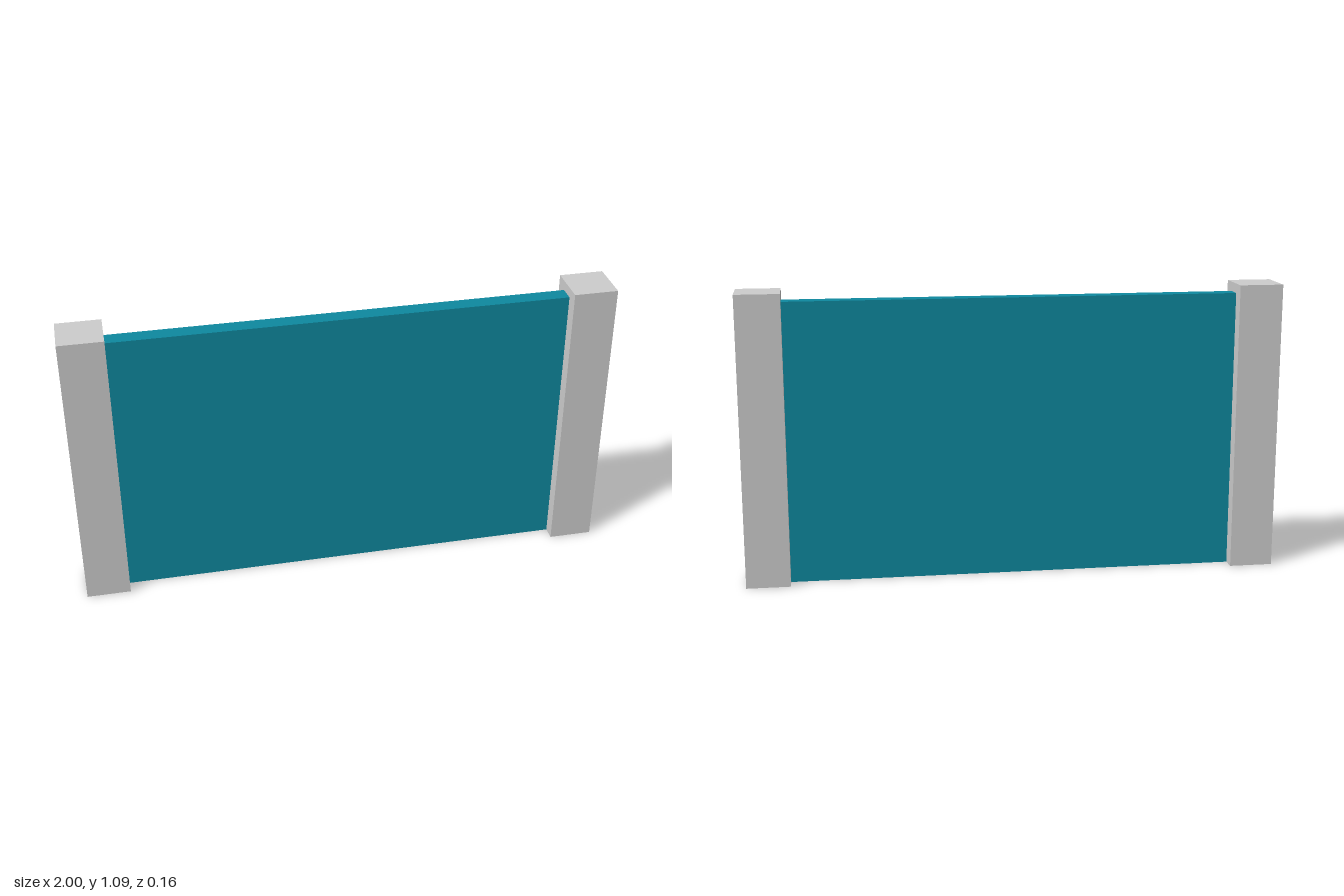
import * as THREE from 'three';

const POST = { width: 0.163, height: 1.085 };
const PANEL = { height: 1.05, thickness: 0.06 };

// Box standing on the ground, centred on z = 0
function standingBox(name, width, height, depth, x, material) {
  const mesh = new THREE.Mesh(new THREE.BoxGeometry(width, height, depth), material);
  mesh.name = name;
  mesh.position.set(x, height / 2, 0);
  return mesh;
}

export function createModel() {
  const model = new THREE.Group();
  model.name = 'fencePanel';

  const grey = new THREE.MeshStandardMaterial({ color: 0xcccccc });
  const teal = new THREE.MeshStandardMaterial({ color: 0x0e889e });

  // Square end posts
  for (const [name, side] of [['leftPost', 1], ['rightPost', -1]]) {
    const x = side * (1 - POST.width / 2);
    model.add(standingBox(name, POST.width, POST.height, POST.width, x, grey));
  }

  // Thin panel spanning between the posts
  const span = 2 - 2 * POST.width;
  model.add(standingBox('panel', span, PANEL.height, PANEL.thickness, 0, teal));

  return model;
}
